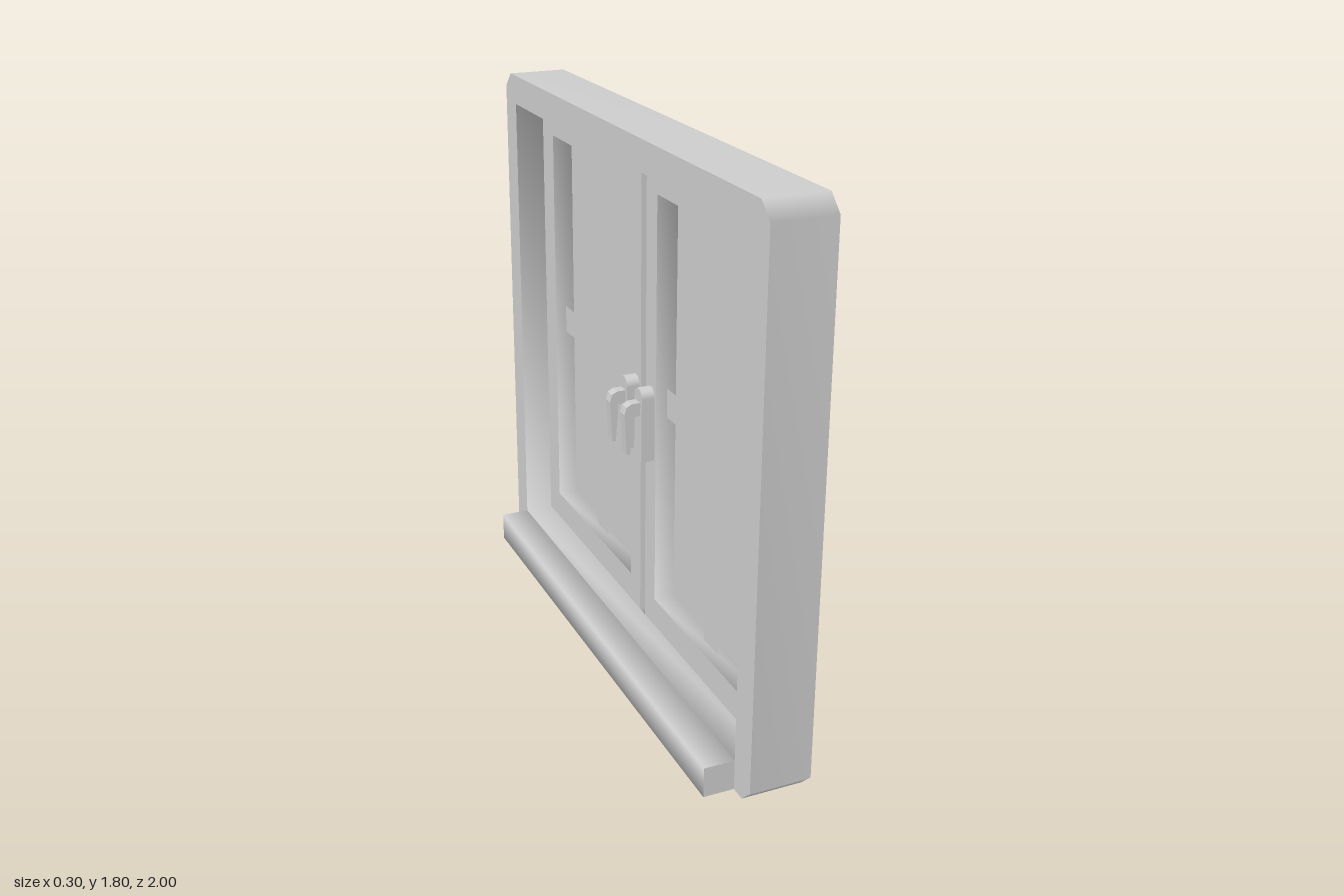
import * as THREE from 'three';

// Local frame: the window faces +z here and is turned to face -x at the end.
const FRONT = 0.05, BACK = -0.15, SASH = -0.05, BAR = -0.09, PANE = -0.12;

export function createModel() {
  const grey = new THREE.MeshStandardMaterial({ color: 0xcccccc });
  grey.name = 'lightGrey';
  const greyThin = grey;
  greyThin.side = THREE.DoubleSide;

  const model = new THREE.Group();
  model.name = 'shutteredWindow';

  function add(parent, name, geometry) {
    const mesh = new THREE.Mesh(geometry, grey);
    mesh.name = name;
    parent.add(mesh);
    return mesh;
  }

  // Counter-clockwise rectangle
  const rect = (x0, x1, y0, y1) => [[x0, y0], [x1, y0], [x1, y1], [x0, y1]];
  const toVectors = pts => pts.map(p => new THREE.Vector2(p[0], p[1]));

  // Flat sheet at depth z, with an optional opening
  function sheet(pts, z, hole) {
    const shape = new THREE.Shape(toVectors(pts));
    if (hole) shape.holes.push(new THREE.Path(toVectors(hole)));
    return new THREE.ShapeGeometry(shape).translate(0, 0, z);
  }

  // Smoothly shaded wall round a loop; a reversed loop faces inward
  function wall(pts, z0, z1) {
    const pos = [], index = [], n = pts.length;
    pts.forEach(([x, y], i) => {
      pos.push(x, y, z0, x, y, z1);
      const a = 2 * i, b = 2 * ((i + 1) % n);
      index.push(a, b, b + 1, a, b + 1, a + 1);
    });
    const g = new THREE.BufferGeometry();
    g.setAttribute('position', new THREE.Float32BufferAttribute(pos, 3));
    g.setIndex(index);
    g.computeVertexNormals();
    return g;
  }
  const inward = pts => [...pts].reverse();

  // Outer frame with clipped corners
  const c = 0.05;
  const outer = [
    [-1 + c, 0], [1 - c, 0], [1, c], [1, 1.8 - c],
    [1 - c, 1.8], [-1 + c, 1.8], [-1, 1.8 - c], [-1, c],
  ];
  const opening = rect(-0.9, 0.9, 0.1, 1.7);
  const frame = new THREE.Group();
  frame.name = 'frame';
  model.add(frame);
  add(frame, 'frameRim', wall(outer, BACK, FRONT));
  add(frame, 'frameFace', sheet(outer, FRONT, opening));
  add(frame, 'frameReveal', wall(inward(opening), SASH, FRONT));
  add(frame, 'backFace', sheet(outer, 0).rotateY(Math.PI).translate(0, 0, BACK));

  // Sill: four-sided prism with smooth long faces
  const sill = new THREE.CylinderGeometry(0.05 * Math.SQRT2, 0.05 * Math.SQRT2, 1.8, 4, 1, false, Math.PI / 4);
  add(model, 'sill', sill.rotateZ(Math.PI / 2).translate(0, 0.05, FRONT + 0.05));

  // Groove between the two sashes
  const groove = rect(-0.02, 0.02, 0.1, 1.7);
  add(model, 'grooveWall', wall(inward(groove), PANE, SASH));
  add(model, 'grooveFloor', sheet(groove, PANE));

  // Handle: rounded backplate and a bent lever
  function makeHandle() {
    const handle = new THREE.Group();
    handle.name = 'handle';
    const plate = new THREE.Shape();
    plate.moveTo(-0.03, 0.71);
    plate.lineTo(0.03, 0.71);
    plate.lineTo(0.03, 0.93);
    plate.absarc(0, 0.93, 0.03, 0, Math.PI, false);
    plate.closePath();
    const plateGeo = new THREE.ExtrudeGeometry(plate, { depth: 0.045, bevelEnabled: false, curveSegments: 8 });
    add(handle, 'handlePlate', plateGeo.translate(0, 0, SASH));

    const lever = new THREE.Shape(toVectors([
      [-0.01, 0.87], [0.02, 0.87], [0.03, 0.74], [0.042, 0.74],
      [0.05, 0.88], [0.043, 0.905], [0.025, 0.915], [-0.01, 0.915],
    ]));
    const leverGeo = new THREE.ExtrudeGeometry(lever, { depth: 0.036, bevelEnabled: false });
    add(handle, 'handleLever', leverGeo.translate(0, 0, -0.018).rotateY(-Math.PI / 2));
    return handle;
  }

  // Two sashes, each with a pane, crossed bars and a handle
  for (const side of [-1, 1]) {
    const span = (a, b, y0, y1) => (side > 0 ? rect(a, b, y0, y1) : rect(-b, -a, y0, y1));
    const sash = new THREE.Group();
    sash.name = side > 0 ? 'sashFront' : 'sashBack';
    model.add(sash);
    const hole = span(0.1, 0.8, 0.2, 1.6);
    add(sash, 'sashFace', sheet(span(0.02, 0.9, 0.1, 1.7), SASH, hole));
    add(sash, 'sashReveal', wall(inward(hole), PANE, SASH));
    add(sash, 'pane', sheet(hole, PANE));
    add(sash, 'uprightBar', sheet(span(0.4, 0.5, 0.2, 1.6), BAR));
    add(sash, 'crossBar', sheet(span(0.1, 0.8, 0.86, 0.96), BAR + 0.001));
    const handle = makeHandle();
    handle.position.x = side * 0.06;
    sash.add(handle);
  }

  model.rotation.y = -Math.PI / 2;
  const root = new THREE.Group();
  root.name = 'window';
  root.add(model);
  return root;
}
